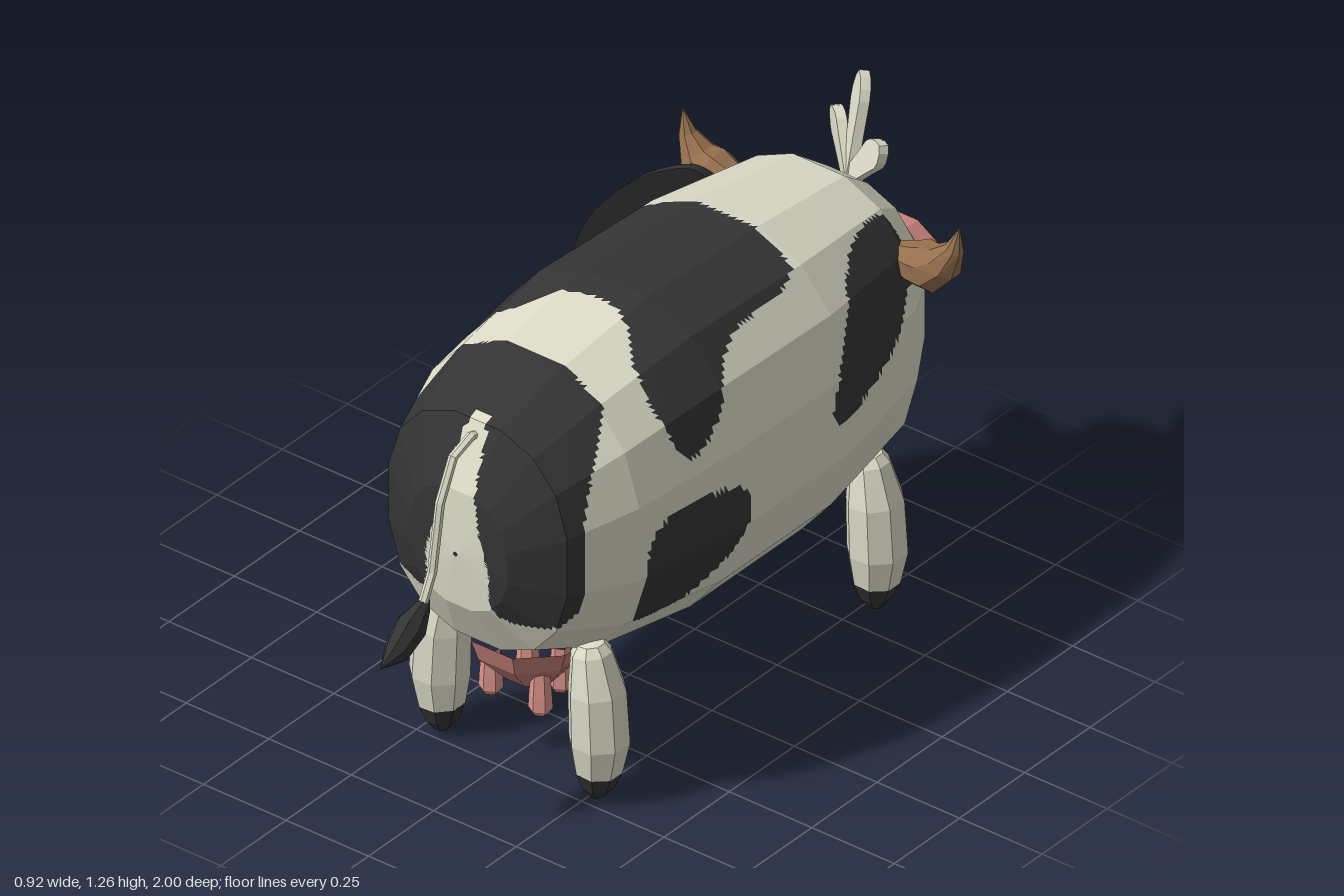
import * as THREE from 'three';

const CX = 0.035; // centre line of the animal
const mat = (name, color) => Object.assign(new THREE.MeshStandardMaterial({ color }), { name });
const V = (x, y, z) => new THREE.Vector3(x, y, z);

// Faceted skin over a list of rings (closed loops of points); one geometry group per material index.
function skin(rings, pick = () => 0, count = 1) {
  const lists = Array.from({ length: count }, () => []);
  const c = new THREE.Vector3();
  const add = (a, b, d) => {
    const t = new THREE.Triangle(a, b, d);
    if (t.getArea() < 1e-9) return;
    t.getMidpoint(c);
    for (const p of [a, b, d]) lists[pick(c)].push(p.x, p.y, p.z);
  };
  for (let i = 0; i < rings.length - 1; i++) {
    const A = rings[i], B = rings[i + 1], n = A.length;
    for (let j = 0; j < n; j++) {
      const k = (j + 1) % n;
      add(A[j], B[j], A[k]);
      add(A[k], B[j], B[k]);
    }
  }
  const g = new THREE.BufferGeometry();
  g.setAttribute('position', new THREE.Float32BufferAttribute(lists.flat(), 3));
  let start = 0;
  if (count > 1) lists.forEach((l, i) => { g.addGroup(start, l.length / 3, i); start += l.length / 3; });
  g.computeVertexNormals();
  return g;
}

// Tapered limb: [x, y, z, radius] stations, "flat" scales the second radius.
function sweep(stations, sides, ref = V(1, 0, 0), flat = 1) {
  const P = stations.map(s => V(s[0], s[1], s[2]));
  return skin(P.map((p, i) => {
    const t = P[Math.min(i + 1, P.length - 1)].clone().sub(P[Math.max(i - 1, 0)]).normalize();
    const u = ref.clone().addScaledVector(t, -ref.dot(t)).normalize();
    const v = u.clone().cross(t);
    return Array.from({ length: sides }, (_, j) => {
      const a = (j + 0.5) / sides * Math.PI * 2, r = stations[i][3];
      return p.clone().addScaledVector(u, r * Math.cos(a)).addScaledVector(v, r * flat * Math.sin(a));
    });
  }));
}

// Rounded-box cross-section standing at z.
function section([z, y0, y1, hw], sides = 16) {
  const pw = s => Math.sign(s) * Math.abs(s) ** (2 / 2.4);
  return Array.from({ length: sides }, (_, j) => {
    const a = (j + 0.5) / sides * Math.PI * 2;
    return V(CX + hw * pw(Math.cos(a)), (y0 + y1) / 2 + (y1 - y0) / 2 * pw(Math.sin(a)), z);
  });
}

// Splits facets finely, without changing their shape, so that spots have clean outlines.
function refine(rings, step, around) {
  const fine = rings.map(r => r.flatMap((p, j) => Array.from({ length: around },
    (_, k) => p.clone().lerp(r[(j + 1) % r.length], k / around))));
  const out = [fine[0]];
  for (let i = 1; i < fine.length; i++) {
    const far = Math.max(...fine[i].map((p, j) => p.distanceTo(fine[i - 1][j])));
    const n = Math.ceil(far / step);
    for (let k = 1; k <= n; k++) out.push(fine[i].map((p, j) => fine[i - 1][j].clone().lerp(p, k / n)));
  }
  return out;
}

const blob = pts => new THREE.SplineCurve([...pts, pts[0]].map(p => new THREE.Vector2(...p))).getPoints(60);
function inside(poly, x, y) {
  let hit = false;
  for (let i = 0, j = poly.length - 1; i < poly.length; j = i++) {
    const a = poly[i], b = poly[j];
    if ((a.y > y) !== (b.y > y) && x < (b.x - a.x) * (y - a.y) / (b.y - a.y) + a.x) hit = !hit;
  }
  return hit;
}

// Spots: flank and shoulder in (z, y), saddle in (distance from centre line, z), rump in (z, y).
const flank = blob([[0.4, 0.6], [0.4, 0.5], [0.33, 0.47], [0.2, 0.49], [0.1, 0.55], [0.05, 0.62],
  [0.05, 0.7], [0.1, 0.75], [0.2, 0.77], [0.33, 0.77], [0.39, 0.72]]);
const shoulder = blob([[-0.28, 0.75], [-0.31, 0.715], [-0.4, 0.72], [-0.55, 0.77], [-0.62, 0.85],
  [-0.7, 0.93], [-0.68, 1.05], [-0.55, 1.06], [-0.45, 1.02], [-0.38, 0.95], [-0.3, 0.83]]);
const saddle = blob([[-0.1, -0.32], [0.17, -0.315], [0.24, -0.25], [0.255, -0.05], [0.29, 0.05], [0.335, 0.12],
  [0.34, 0.25], [0.28, 0.3], [0.19, 0.27], [0.1, 0.19], [0, 0.16], [-0.1, 0.18]]);
const raw = pts => pts.map(p => new THREE.Vector2(...p));
const rump = raw([[0.41, 1.3], [0.4, 1.14], [0.42, 1.08], [0.52, 0.97], [0.575, 0.85], [0.58, 0.6],
  [0.61, 0.565], [0.66, 0.56], [0.8, 0.56], [0.8, 1.3]]);
const stripe = raw([[-0.1, 1.07], [0.02, 1.068], [0.033, 1.04], [0.045, 0.92], [0.065, 0.8], [0.095, 0.7],
  [0.095, 0.62], [0.11, 0.58], [0.15, 0.555], [-0.1, 0.555]]);

// 0 = coat, 1 = spots, 2 = eyes and mouth
function coatIndex({ x, y, z }) {
  const d = Math.abs(x - CX);
  if (z < -0.7) {
    if (Math.hypot(d - 0.15, y - 0.91) < 0.021) return 2;
    if (z < -0.84 && d < 0.14 && Math.abs(y - 0.62 - 0.012 * Math.sin(x * 40)) < 0.013) return 2;
  }
  if (inside(flank, z, y) || inside(shoulder, z, y)) return 1;
  if (y > 0.88 && inside(saddle, d, z)) return 1;
  if (inside(rump, z, y) && !(z > 0.55 && inside(stripe, d, y))) return 1;
  return 0;
}

export function createModel() {
  const cream = mat('cream coat', 0xdcdcc8), black = mat('black spots', 0x343434);
  const brown = mat('eye brown', 0xa8704e), horn = mat('horn', 0x96704e);
  const pink = mat('pink skin', 0xc47f78), teatPink = mat('light pink', 0xdb948a);
  const group = new THREE.Group();
  const add = (name, geo, m) => {
    const mesh = new THREE.Mesh(geo, m);
    mesh.name = name;
    group.add(mesh);
    return mesh;
  };

  // Body and head in one barrel, from rump to face
  const barrel = [[0.712, 0.72, 0.73, 0.005], [0.7, 0.57, 0.9, 0.15], [0.625, 0.43, 1.065, 0.275],
    [0.43, 0.345, 1.14, 0.34], [0.1, 0.29, 1.185, 0.375], [-0.33, 0.285, 1.165, 0.367],
    [-0.68, 0.33, 1.12, 0.305], [-0.79, 0.45, 1.035, 0.24], [-0.865, 0.535, 0.93, 0.18],
    [-0.94, 0.58, 0.8, 0.1], [-0.945, 0.69, 0.7, 0.005]].map(s => section(s));
  add('body', skin(refine(barrel, 0.014, 9), coatIndex, 3), [cream, black, brown]);

  // Lower jaw
  add('jaw', skin([[-0.6, 0.36, 0.48, 0.2], [-0.72, 0.36, 0.5, 0.2], [-0.8, 0.41, 0.515, 0.17],
    [-0.845, 0.47, 0.52, 0.11], [-0.85, 0.5, 0.51, 0.005]].map(s => section(s, 10))), cream);

  // Snout
  add('snout', sweep([[CX, 0.735, -0.88, 0.11], [CX, 0.735, -1, 0.125], [CX, 0.735, -1, 0]], 8, V(1, 0, 0), 0.65), pink);

  for (const s of [-1, 1]) {
    // Horns curving up and out
    add('horn', sweep([[0.22, 0.95, 0.03], [0.29, 0.95, 0.055], [0.335, 0.957, 0.065], [0.375, 0.985, 0.048],
      [0.405, 1.035, 0.024], [0.42, 1.1, 0]].map(([x, y, r]) => [CX + s * x, y, -0.69, r]), 8, V(0, 0, 1)), horn);

    // Legs with dark hooves
    for (const [name, z, lift] of [['rearLeg', 0.465, 0.01], ['frontLeg', -0.6, 0]]) {
      const at = ([y, r, x]) => [CX + s * x, y + lift, z, r];
      add(name, sweep([[0.43, 0, 0.215], [0.425, 0.035, 0.215], [0.4, 0.052, 0.218], [0.3, 0.073, 0.235],
        [0.16, 0.076, 0.242], [0.075, 0.06, 0.238]].map(at), 8), cream);
      add('hoof', sweep([[0.075, 0.06, 0.238], [0.03, 0.043, 0.236], [0, 0.02, 0.235], [0, 0, 0.235]].map(at), 8), black);
    }
    // Teats
    for (const z of [0.37, 0.48]) {
      const x = CX + s * (z < 0.4 ? 0.05 : 0.075);
      add('teat', sweep([[x, 0.31, z, 0.022], [x, 0.24, z, 0.028], [x, 0.2, z, 0.03], [x, 0.185, z, 0.02],
        [x, 0.185, z, 0]], 6), teatPink);
    }
  }

  // Udder
  add('udder', sweep([[CX, 0.38, 0.42, 0.165], [CX, 0.33, 0.42, 0.145], [CX, 0.245, 0.41, 0.075],
    [CX, 0.235, 0.41, 0]], 8), pink);

  // Tail and its tuft
  add('tail', sweep([[0.62, 1.02], [0.65, 1.03], [0.72, 1.005], [0.77, 0.9], [0.8, 0.72], [0.85, 0.62]]
    .map(([z, y]) => [CX, y, z, 0.012]), 6), cream);
  add('tailTuft', sweep([[0.81, 0.655, 0], [0.835, 0.64, 0.025], [0.88, 0.605, 0.05], [0.935, 0.565, 0.042],
    [1, 0.545, 0]].map(([z, y, r]) => [CX, y, z, r]), 8, V(1, 0, 0), 0.95).translate(CX, 0, 0).scale(0.75, 1, 1)
    .translate(CX - CX * 1.5, 0, 0), black);

  // Tuft of hair: three flat leaves fanning out of the forehead
  const leaf = new THREE.Shape(new THREE.SplineCurve(raw([[-0.018, 0], [-0.03, 0.5], [-0.036, 0.8], [0, 1],
    [0.036, 0.8], [0.03, 0.5], [0.018, 0]])).getPoints(14));
  for (const tip of [V(0.0, 1.255, -0.9), V(0.15, 1.16, -0.785), V(-0.08, 1.13, -0.89)]) {
    const root = V(0.04, 1.02, -0.79), up = tip.clone().sub(root), len = up.length();
    up.normalize();
    const n = V(0.55, 0, -0.8).addScaledVector(up, -V(0.55, 0, -0.8).dot(up)).normalize();
    const g = new THREE.ExtrudeGeometry(leaf, { depth: 0.026, bevelEnabled: false }).translate(0, 0, -0.013);
    g.scale(1, len, 1);
    g.applyMatrix4(new THREE.Matrix4().makeBasis(up.clone().cross(n), up, n).setPosition(root));
    add('hairLeaf', g, cream);
  }

  // Single drooping ear, swept backwards
  const outline = new THREE.Shape(blob([[-0.25, 0.97], [-0.29, 1.02], [-0.36, 1.01], [-0.42, 0.95], [-0.455, 0.86],
    [-0.455, 0.77], [-0.39, 0.748], [-0.33, 0.76], [-0.29, 0.83], [-0.25, 0.9]]));
  const ear = new THREE.ExtrudeGeometry(outline, { depth: 0.025, bevelEnabled: false });
  const p = ear.attributes.position;
  for (let i = 0; i < p.count; i++) p.setZ(i, p.getZ(i) - 0.66 + (-0.25 - p.getX(i)) * 1.28);
  ear.computeVertexNormals();
  add('ear', ear, black);

  return group;
}
